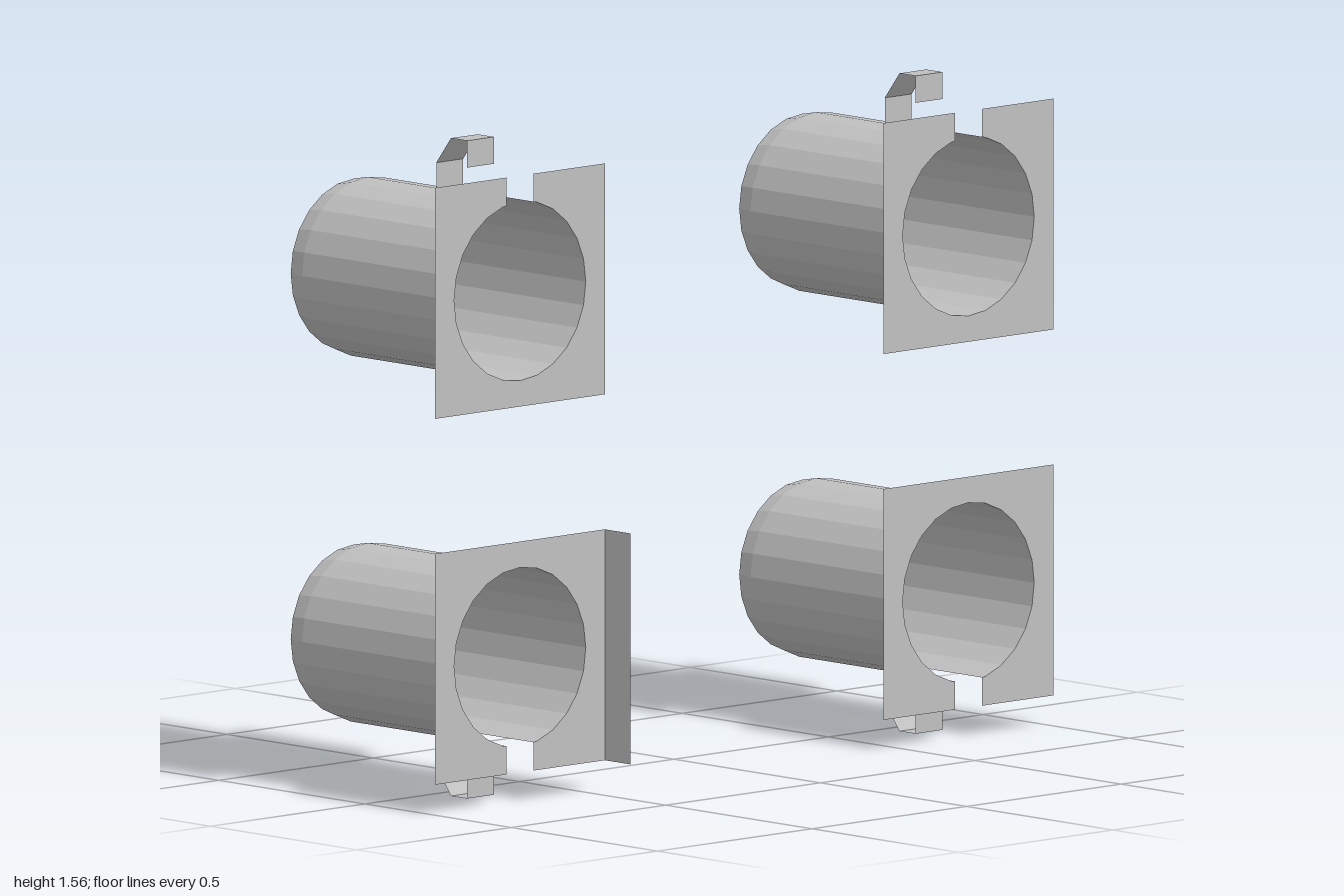
import * as THREE from 'three';

const R = 0.213, CAP_R = 0.204;           // tube and end cap radii
const FRONT = 0.24, CHAMFER = -0.28, BACK = -0.328;
const HALF = 0.2745, SLOT = 0.0435;       // half sizes of plate and slot
const SIDES = 24;
const STEP = (Math.PI * 2) / SIDES;

// Flat-faced sheet lofted between rows of [x, y, z] points
function sheet(rows) {
  const pos = [];
  for (let i = 0; i < rows.length - 1; i++) {
    const a = rows[i], b = rows[i + 1];
    for (let j = 0; j < a.length - 1; j++) {
      pos.push(...a[j], ...b[j], ...a[j + 1], ...b[j], ...b[j + 1], ...a[j + 1]);
    }
  }
  const g = new THREE.BufferGeometry();
  g.setAttribute('position', new THREE.Float32BufferAttribute(pos, 3));
  g.computeVertexNormals();
  return g;
}

// Circle of points, clockwise from the top
function circle(r) {
  const pts = [];
  for (let i = 0; i <= SIDES; i++) pts.push([r * Math.sin(i * STEP), r * Math.cos(i * STEP)]);
  return pts;
}

// The same circle, cut open at the top by the slot
function openCircle() {
  const pts = circle(R).slice(1, -1);
  const [x1, y1] = pts[0];
  const y = R + (y1 - R) * (SLOT / x1);
  return [[SLOT, y], ...pts, [-SLOT, y]];
}

const atZ = (pts, z) => pts.map(([x, y]) => [x, y, z]);

export function createModel() {
  const model = new THREE.Group();
  const grey = new THREE.MeshStandardMaterial({ color: 0xc0c0c0, side: THREE.DoubleSide });
  grey.name = 'plain grey';

  // Square face plate with a round opening joined to a slot in its edge
  const arc = openCircle();
  const outline = [
    [SLOT, HALF], [HALF, HALF], [HALF, -HALF], [-HALF, -HALF], [-HALF, HALF], [-SLOT, HALF],
    ...arc.slice().reverse(),
  ].map(([x, y]) => new THREE.Vector2(x, y));
  const plateGeo = new THREE.ShapeGeometry(new THREE.Shape(outline));
  plateGeo.translate(0, 0, FRONT);

  // Tube: slotted front half, closed back half with a small chamfer
  const slottedGeo = sheet([atZ(arc, FRONT), atZ(arc, 0)]);
  const backGeo = sheet([atZ(circle(R), 0), atZ(circle(R), CHAMFER), atZ(circle(CAP_R), BACK)]);
  const capGeo = new THREE.CircleGeometry(CAP_R, SIDES);
  capGeo.rotateY(Math.PI);
  capGeo.translate(0, 0, BACK);

  // Bent strip hooking forward over the slot: [y, z] profile
  const profile = [[R, 0], [0.283, 0], [0.347, 0.05], [0.347, 0.105], [0.283, 0.105]];
  const hookGeo = sheet(profile.map(([y, z]) => [[-SLOT, y, z], [SLOT, y, z]]));

  const parts = {
    facePlate: plateGeo, slottedTube: slottedGeo, backTube: backGeo, endCap: capGeo, hook: hookGeo,
  };

  // Four cups; the lower pair is turned over
  for (const x of [-0.7255, 0.7255]) {
    for (const upper of [true, false]) {
      const cup = new THREE.Group();
      cup.name = (upper ? 'upper' : 'lower') + (x > 0 ? 'Left' : 'Right') + 'Cup';
      for (const [name, geo] of Object.entries(parts)) {
        const mesh = new THREE.Mesh(geo, grey);
        mesh.name = name;
        cup.add(mesh);
      }
      cup.position.set(x, upper ? 1.217 : 0.347, 0);
      if (!upper) cup.rotation.z = Math.PI;
      model.add(cup);
    }
  }

  // Single flange standing forward from the inner edge of one lower plate
  const flange = new THREE.Mesh(new THREE.PlaneGeometry(0.088, HALF * 2), grey);
  flange.name = 'sideFlange';
  flange.rotation.y = Math.PI / 2;
  flange.position.set(-0.7255 + HALF, 0.347, FRONT + 0.044);
  model.add(flange);

  return model;
}
